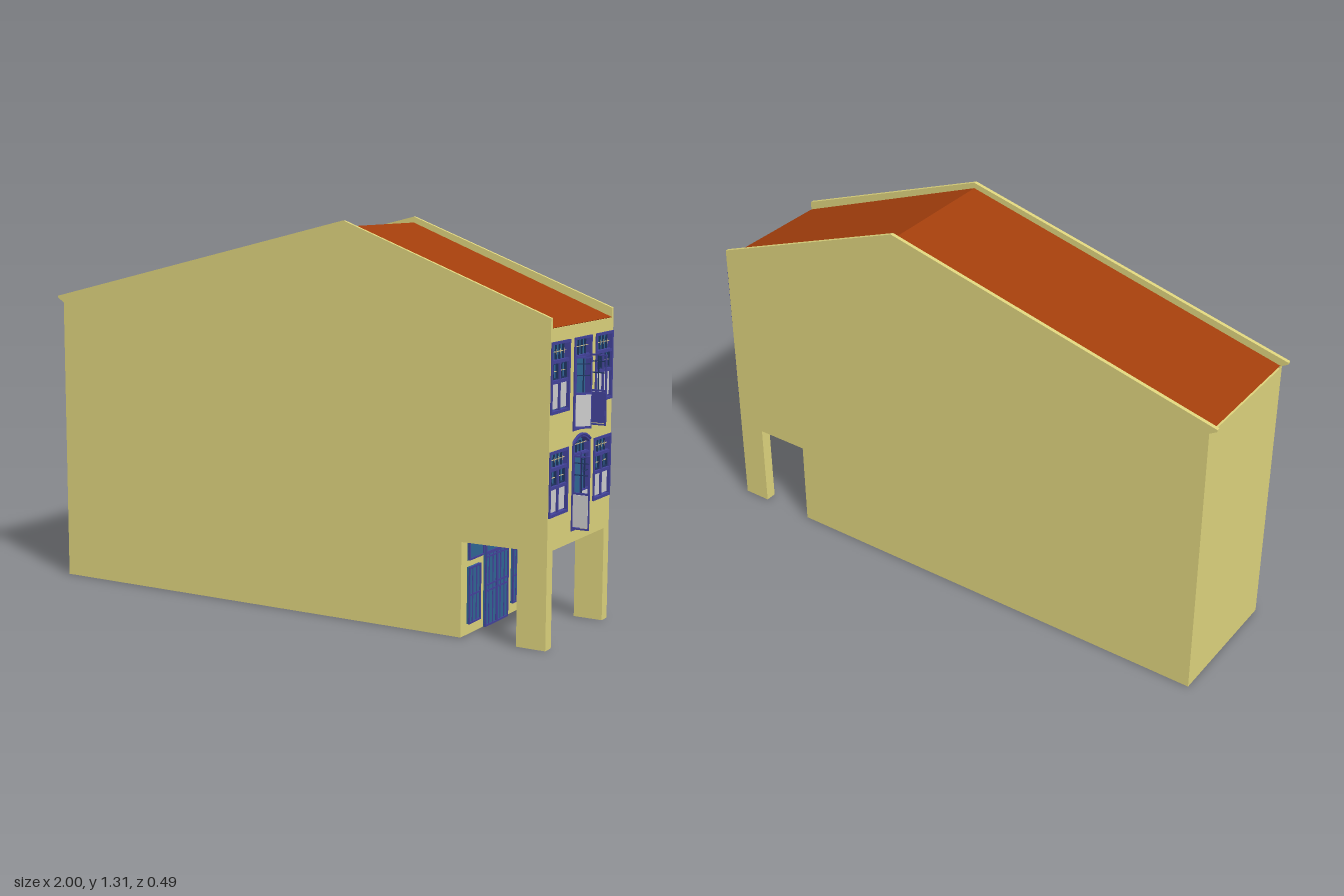
import * as THREE from 'three';

const mat = (color) => new THREE.MeshStandardMaterial({ color, side: THREE.DoubleSide });
const WALL = mat(0xdcd27c), ROOF = mat(0xa23e0c), BLUE = mat(0x2f6694), TRIM = mat(0x42429a);
const DARK = mat(0x1f3562), PANEL = mat(0xbcbcc0), TAN = mat(0xc9b98a);
const HALF = 0.2375, T = 0.013, FRONT = 0.94;

function add(parent, name, geo, material, x = 0, y = 0, z = 0) {
  const m = new THREE.Mesh(geo, material);
  m.name = name;
  m.position.set(x, y, z);
  parent.add(m);
  return m;
}
const box = (p, name, material, x, y, z, w, h, d) =>
  add(p, name, new THREE.BoxGeometry(w, h, d), material, x, y, z);
const extrude = (shape, depth) =>
  new THREE.ExtrudeGeometry(shape, { depth, bevelEnabled: false, curveSegments: 10 });
const polygon = (pts) => new THREE.Shape(pts.map(([x, y]) => new THREE.Vector2(x, y)));

// Upright opening centred on u, with an optional curved top
function opening(u, y, w, h, rise = 0) {
  const s = new THREE.Shape();
  s.moveTo(u - w / 2, y);
  s.lineTo(u + w / 2, y);
  s.lineTo(u + w / 2, y + h - rise);
  if (rise) s.quadraticCurveTo(u, y + h + rise, u - w / 2, y + h - rise);
  else s.lineTo(u - w / 2, y + h);
  s.closePath();
  return s;
}
function frame(p, name, u, y, w, h, t, z, depth, rise = 0, material = TRIM) {
  const s = opening(u, y, w, h, rise);
  s.holes.push(opening(u, y + t, w - 2 * t, h - 2 * t, rise));
  return add(p, name, extrude(s, depth), material, 0, 0, z);
}
// Diagonal cross filling a small field
function cross(p, u, y, w, h, z) {
  for (const s of [-1, 1])
    box(p, 'lattice', TAN, u, y, z, Math.hypot(w, h), 0.002, 0.002).rotation.z = s * Math.atan2(h, w);
}

function makeWindow(p, u, y, h) {
  const g = new THREE.Group(), w = 0.136;
  g.name = 'window';
  g.position.set(u, y, 0);
  p.add(g);
  box(g, 'glass', BLUE, 0, h / 2, -0.016, w, h, 0.004);
  frame(g, 'windowFrame', 0, 0, w, h, 0.009, -0.016, 0.02);
  for (const f of [0.44, 0.72]) box(g, 'rail', TRIM, 0, h * f, -0.006, w - 0.016, 0.01, 0.016);
  box(g, 'mullion', TRIM, 0, h * 0.36, -0.006, 0.008, h * 0.72, 0.014);
  box(g, 'transomBar', TAN, 0, h * 0.85, -0.009, w - 0.018, 0.002, 0.003);
  for (const v of [-0.04, -0.013, 0.013, 0.04]) {
    box(g, 'glazingBar', DARK, v, h * 0.845, -0.01, 0.003, h * 0.23, 0.006);
    box(g, 'transomBar', TAN, v, h * 0.85, -0.007, 0.002, 0.016, 0.002);
  }
  for (const s of [-1, 1]) {
    const c = s * 0.031;
    frame(g, 'casement', c, h * 0.47, 0.054, h * 0.23, 0.004, -0.012, 0.008, 0, DARK);
    box(g, 'glazingBar', DARK, c, h * 0.58, -0.01, 0.003, h * 0.22, 0.006);
    box(g, 'glazingBar', TAN, c, h * 0.58, -0.009, 0.046, 0.002, 0.004);
    box(g, 'lowerPanel', PANEL, c, h * 0.235, -0.008, 0.05, h * 0.34, 0.008);
  }
}

// Door leaf hinged at u; side 1 is hinged on the left, -1 on the right
function makeLeaf(p, side, y, h, angle) {
  const g = new THREE.Group(), w = 0.057, c = side * w / 2, low = h * 0.48;
  g.name = 'doorLeaf';
  g.position.set(-side * 0.058, y, 0.001);
  g.rotation.y = -side * angle;
  p.add(g);
  frame(g, 'leafFrame', c, 0, w, h, 0.005, -0.003, 0.006);
  box(g, 'leafPanel', PANEL, c, low / 2 + 0.003, 0.002, w - 0.006, low - 0.01, 0.004);
  box(g, 'leafBack', TRIM, c, low / 2 + 0.003, -0.002, w - 0.006, low - 0.01, 0.004);
  box(g, 'leafRail', TRIM, c, low + 0.002, 0, w - 0.008, 0.006, 0.006);
  box(g, 'leafBar', DARK, c, (low + h) / 2, 0, 0.003, h - low - 0.008, 0.004);
  for (const f of [0.74, 0.9]) box(g, 'leafBar', DARK, c, h * f, 0, w - 0.01, 0.003, 0.004);
}

function makeDoor(p, y, h, leafH, rise, angles) {
  const g = new THREE.Group(), w = 0.132, top = leafH + 0.004;
  g.name = 'balconyDoor';
  g.position.y = y;
  p.add(g);
  add(g, 'backing', extrude(opening(0, 0, w, h, rise), 0.003), BLUE, 0, 0, -0.019);
  frame(g, 'doorFrame', 0, 0, w, h, 0.008, -0.018, 0.022, rise);
  box(g, 'rail', TRIM, 0, top, -0.007, w - 0.012, 0.008, 0.014);
  for (const v of [-0.039, -0.013, 0.013, 0.039])
    box(g, 'glazingBar', DARK, v, (top + h - rise) / 2, -0.01, 0.003, h - rise - top, 0.006);
  box(g, 'transomBar', TAN, 0, (top + h) / 2, -0.008, w - 0.016, 0.002, 0.003);
  // Low railing across the opening
  for (const f of [0.012, 0.055]) box(g, 'railing', TAN, 0, f, -0.01, w - 0.016, 0.002, 0.003);
  for (const s of [-1, 1]) cross(g, s * 0.029, 0.034, 0.056, 0.04, -0.01);
  if (rise) { // curved hood over the arch
    const lip = new THREE.QuadraticBezierCurve3(new THREE.Vector3(-w / 2, h - rise, 0.002),
      new THREE.Vector3(0, h + rise, 0.002), new THREE.Vector3(w / 2, h - rise, 0.002));
    add(g, 'archHood', new THREE.TubeGeometry(lip, 12, 0.005, 6), TRIM);
  }
  makeLeaf(g, 1, 0.006, leafH, angles[0]);
  makeLeaf(g, -1, 0.006, leafH, angles[1]);
}

// Panelled board with a frame and upright and cross bars
function makeBoard(p, name, u, y, w, h, uprights, rails) {
  box(p, name, BLUE, u, y + h / 2, 0.003, w, h, 0.006);
  frame(p, name + 'Frame', u, y, w, h, 0.006, 0.003, 0.007);
  for (let i = 1; i <= uprights; i++)
    box(p, name + 'Bar', TRIM, u - w / 2 + w * i / (uprights + 1), y + h / 2, 0.006, 0.005, h, 0.004);
  for (const f of rails) box(p, name + 'Bar', TRIM, u, y + h * f, 0.006, w, 0.006, 0.004);
}

export function createModel() {
  const root = new THREE.Group(), house = new THREE.Group();
  house.name = 'house';
  house.rotation.y = 0.0065;
  root.add(house);

  // Side walls rising above the roof as parapets, with the covered walkway cut out
  const side = polygon([[-0.972, 0], [0.645, 0], [0.645, 0.31], [0.92, 0.31], [0.92, 0.998],
    [FRONT, 0.998], [FRONT, 1.03], [0.205, 1.31], [-0.998, 1.02], [-0.998, 1.013], [-0.972, 0.997]]);
  for (const z of [-HALF, HALF - T]) add(house, 'sideWall', extrude(side, T), WALL, 0, 0, z);

  // Roof slopes, set between the parapets
  const roof = polygon([[FRONT, 1.0], [0.205, 1.29], [-0.972, 1.0], [-0.96, 0.988], [0.205, 1.275], [0.92, 0.99]]);
  add(house, 'roof', extrude(roof, 2 * (HALF - T)), ROOF, 0, 0, -HALF + T);

  // Rear wall, walkway ceiling, walkway wall and pillars
  const inner = 2 * (HALF - T);
  box(house, 'rearWall', WALL, -0.967, 0.495, 0, 0.01, 0.99, inner);
  box(house, 'walkwayCeiling', WALL, 0.782, 0.315, 0, 0.276, 0.01, inner);
  box(house, 'walkwayWall', WALL, 0.64, 0.155, 0, 0.01, 0.31, inner);
  for (const s of [-1, 1])
    box(house, 'pillar', WALL, 0.89, 0.155, s * (HALF - 0.02), 0.1, 0.31, 0.04);

  // Street facade, built facing out along its own z
  const facade = new THREE.Group();
  facade.name = 'facade';
  facade.position.x = FRONT;
  facade.rotation.y = Math.PI / 2;
  house.add(facade);
  const front = opening(0, 0.31, 2 * HALF, 0.688);
  const floors = [
    { win: [0.416, 0.205], door: [0.347, 0.301, 0.235, 0.022], angles: [Math.PI / 2, 0] },
    { win: [0.735, 0.222], door: [0.665, 0.292, 0.226, 0], angles: [0.75, Math.PI / 2] },
  ];
  for (const { win, door, angles } of floors) {
    for (const s of [-1, 1]) {
      front.holes.push(opening(s * 0.166, win[0], 0.136, win[1]));
      makeWindow(facade, s * 0.166, ...win);
    }
    front.holes.push(opening(0, door[0], 0.132, door[1], door[3]));
    makeDoor(facade, ...door, angles);
  }
  add(facade, 'facadeWall', extrude(front, 0.02), WALL, 0, 0, -0.02);

  // Shopfront on the walkway wall
  const shop = new THREE.Group();
  shop.name = 'shopfront';
  shop.position.x = 0.645;
  shop.rotation.y = Math.PI / 2;
  house.add(shop);
  makeBoard(shop, 'doorTransom', 0, 0.243, 0.165, 0.066, 0, []);
  for (const s of [-1, 1]) {
    makeBoard(shop, 'shopDoor', s * 0.041, 0, 0.083, 0.245, 2, [0.48, 0.56, 0.94]);
    makeBoard(shop, 'sideTransom', s * 0.146, 0.243, 0.102, 0.066, 0, []);
    makeBoard(shop, 'shutter', s * 0.157, 0.035, 0.08, 0.186, 2, [0.5]);
  }
  return root;
}
